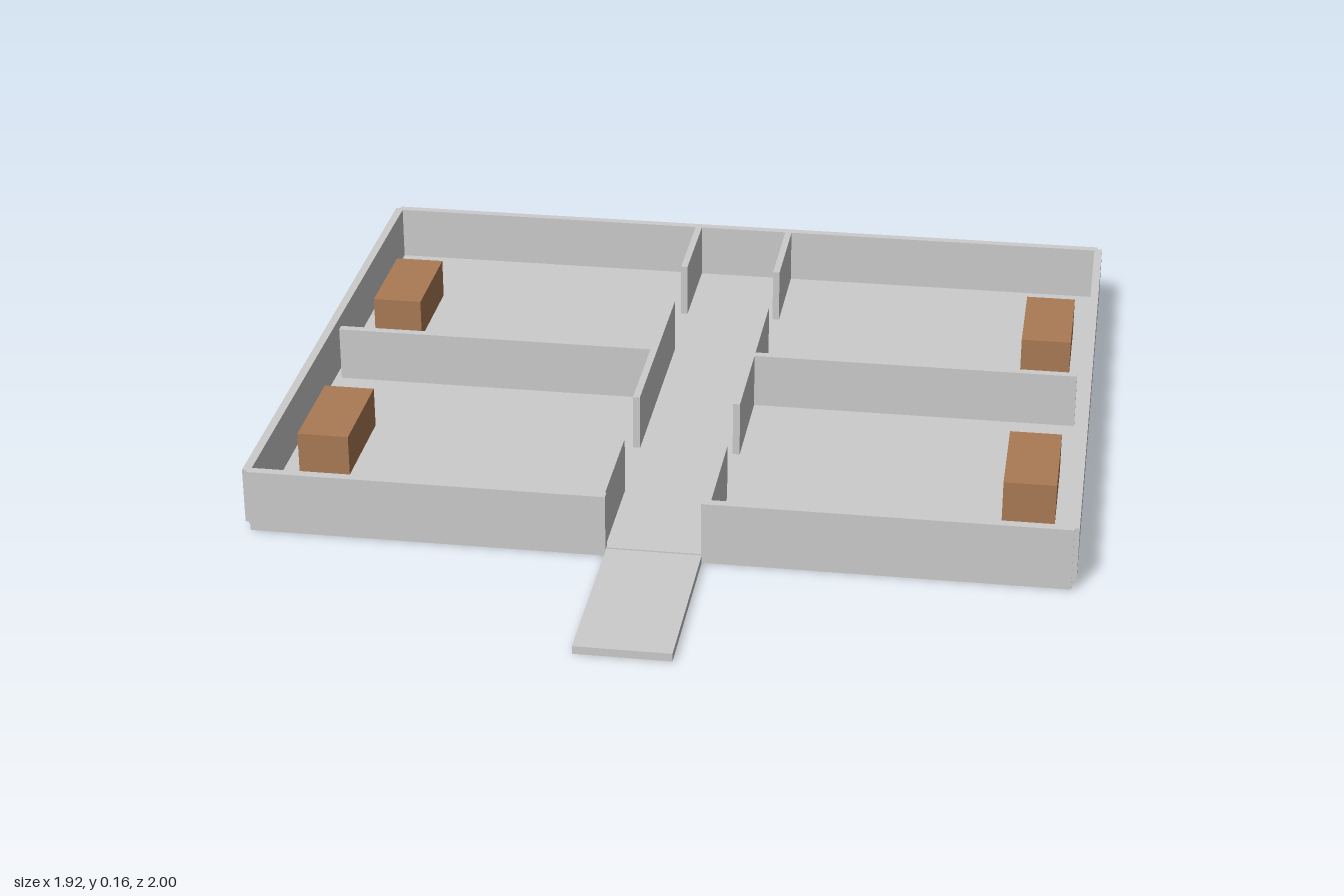
import * as THREE from 'three';

export function createModel() {
  const model = new THREE.Group();
  const grey = new THREE.MeshStandardMaterial({ color: 0xcccccc });
  const brown = new THREE.MeshStandardMaterial({ color: 0xaa7a55 });

  const FLOOR = 0.022, WALL_TOP = 0.157, BED_TOP = 0.122;

  // Box given by its extents on each axis
  function block(name, [x0, x1], [y0, y1], [z0, z1], material = grey) {
    const mesh = new THREE.Mesh(new THREE.BoxGeometry(x1 - x0, y1 - y0, z1 - z0), material);
    mesh.position.set((x0 + x1) / 2, (y0 + y1) / 2, (z0 + z1) / 2);
    mesh.name = name;
    model.add(mesh);
  }

  const wallY = [FLOOR, WALL_TOP];

  // Floor slab and entrance path
  block('floor', [-0.947, 0.947], [0, FLOOR], [-0.988, 0.563]);
  block('entrancePath', [-0.11, 0.11], [0, 0.019], [0.563, 1]);

  // Back wall spans the full width
  block('backWall', [-0.947, 0.947], wallY, [-1, -0.978]);

  for (const [side, s] of [['left', 1], ['right', -1]]) {
    const span = (a, b) => (s > 0 ? [a, b] : [-b, -a]);

    // Outer walls; the front is open in the middle
    block(side + 'OuterWall', span(0.938, 0.958), wallY, [-0.988, 0.563]);
    block(side + 'FrontWall', span(0.11, 0.947), wallY, [0.551, 0.573]);

    // Corridor wall, broken by two doorways
    [[-0.978, -0.714], [-0.495, 0.063], [0.283, 0.551]].forEach((z, i) =>
      block(side + 'CorridorWall' + (i + 1), span(0.113, 0.13), wallY, z));

    // Wall between the two rooms stops just short of the outer wall
    block(side + 'RoomDivider', span(0.13, 0.922), wallY, [-0.228, -0.207]);

    // One bed in each room
    block(side + 'BackBed', span(0.775, 0.898), [FLOOR, BED_TOP], [-0.735, -0.472], brown);
    block(side + 'FrontBed', span(0.775, 0.898), [FLOOR, BED_TOP], [0.04, 0.302], brown);
  }

  return model;
}
